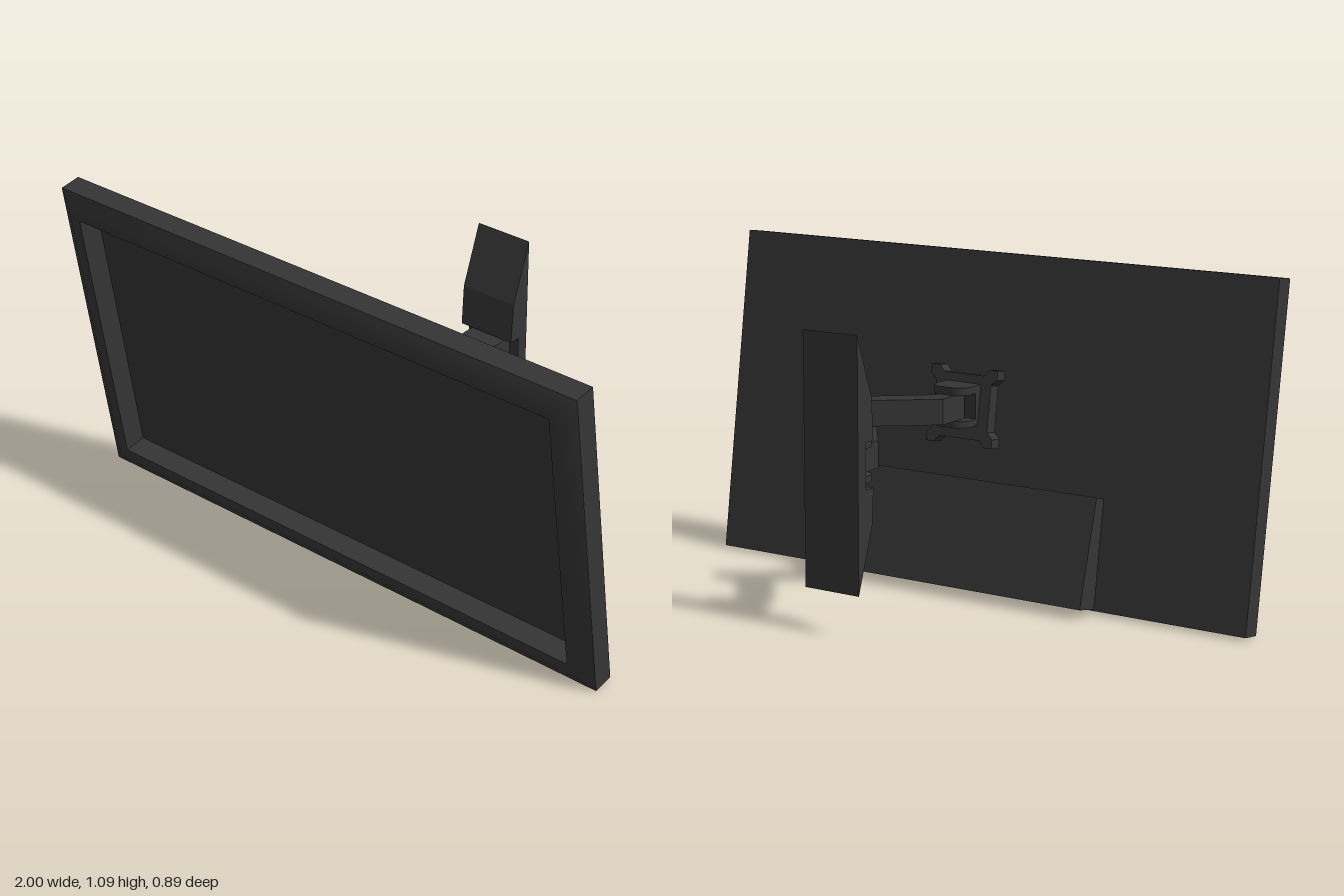
import * as THREE from 'three';
import { toCreasedNormals } from 'three/addons/utils/BufferGeometryUtils.js';

const dark = new THREE.MeshStandardMaterial({ color: 0x353535 });

function part(name, geometry, parent) {
  const mesh = new THREE.Mesh(geometry, dark);
  mesh.name = name;
  parent.add(mesh);
  return mesh;
}

const toShape = (pts) => new THREE.Shape(pts.map(([a, b]) => new THREE.Vector2(a, b)));

// Side profile of [z, y] points, extruded from x0 to x1
function sideExtrude(pts, x0, x1) {
  const g = new THREE.ExtrudeGeometry(toShape(pts), { depth: x1 - x0, bevelEnabled: false });
  return g.rotateY(-Math.PI / 2).translate(x1, 0, 0);
}

// Plan outline of [x, z] points, extruded from y0 to y1
function planExtrude(pts, y0, y1) {
  const shape = toShape(pts.map(([x, z]) => [x, -z]));
  const g = new THREE.ExtrudeGeometry(shape, { depth: y1 - y0, bevelEnabled: false });
  return g.rotateX(-Math.PI / 2).translate(0, y0, 0);
}

function block(x0, x1, y0, y1, z0, z1) {
  return new THREE.BoxGeometry(x1 - x0, y1 - y0, z1 - z0)
    .translate((x0 + x1) / 2, (y0 + y1) / 2, (z0 + z1) / 2);
}

// Rectangular rings of [inset, depth], joined and capped front and back
function framedPanel(w, h, rings) {
  const pos = [];
  const corners = ([inset, z]) => {
    const x = w / 2 - inset;
    return [[-x, inset, z], [x, inset, z], [x, h - inset, z], [-x, h - inset, z]];
  };
  const quad = (a, b, c, d) => pos.push(...a, ...b, ...c, ...a, ...c, ...d);
  const loops = rings.map(corners);
  for (let r = 0; r < loops.length - 1; r++) {
    for (let i = 0; i < 4; i++) {
      const j = (i + 1) % 4;
      quad(loops[r][i], loops[r][j], loops[r + 1][j], loops[r + 1][i]);
    }
  }
  const [a, b, c, d] = loops[0];
  quad(d, c, b, a);
  quad(...loops[loops.length - 1]);
  const g = new THREE.BufferGeometry();
  g.setAttribute('position', new THREE.Float32BufferAttribute(pos, 3));
  return toCreasedNormals(g, 0.7);
}

// Forked bracket: two rounded cheeks joined by a back wall, with a hinge pin
function forkBracket(name, cx, zBase, zTip, wall, y0, y1, arm0, arm1, parent) {
  const group = new THREE.Group();
  group.name = name;
  parent.add(group);
  const dir = Math.sign(zTip - zBase), half = 0.066, r = 0.045;
  const outline = [[cx - half, zBase], [cx + half, zBase]];
  for (let k = 0; k <= 13; k++) {
    // Two quarter arcs, one at each front corner
    const t = (k < 7 ? k : k - 1) / 12 * Math.PI;
    const side = k < 7 ? 1 : -1;
    outline.push([cx + side * (half - r) + r * Math.cos(t), zTip - dir * r * (1 - Math.sin(t))]);
  }
  // Keep the outline anticlockwise in plan whichever way the fork points
  if (dir > 0) outline.reverse();
  part('lowerCheek', planExtrude(outline, y0, arm0), group);
  part('upperCheek', planExtrude(outline, arm1, y1), group);
  const zs = [zBase, zBase + dir * wall].sort((a, b) => a - b);
  part('bracketWall', block(cx - half, cx + half, y0, y1, ...zs), group);
  const pin = part('hingePin', new THREE.CylinderGeometry(0.012, 0.012, y1 - y0 - 0.01, 16), group);
  pin.position.set(cx, (y0 + y1) / 2, zTip - dir * 0.045);
}

export function createModel() {
  const model = new THREE.Group();
  model.name = 'wallMountedDisplay';

  // Tilted display: crowned bezel around a deeply sunken screen
  const display = part('display', framedPanel(2, 1.092, [
    [0, 0], [0, 0.072], [0.047, 0.098], [0.065, 0.1], [0.084, 0.096], [0.091, 0.025],
  ]), model);
  display.rotation.x = 0.15;
  display.position.set(0, 0.011, 0.191);

  // Electronics housing on the lower back
  part('rearHousing', sideExtrude([[0.25, 0.36], [0.2, 0.375], [0.104, 0.034], [0.2, 0.014]], -0.47, 0.492), model);

  // Mounting plate with shallow hollowed sides and four corner lugs
  const plateShape = new THREE.Shape();
  const o = 0.125, n = 0.095, m = 0.104;
  plateShape.moveTo(n, -o);
  for (let i = 0; i < 4; i++) {
    const c = Math.cos(i * Math.PI / 2), s = Math.sin(i * Math.PI / 2);
    const p = (x, y) => [x * c - y * s, x * s + y * c];
    for (const [x, y] of [[o, -o], [o, -n], [m, -0.075], [m, 0.075], [o, n]]) plateShape.lineTo(...p(x, y));
  }
  const plateGeo = new THREE.ExtrudeGeometry(plateShape, { depth: 0.046, bevelEnabled: false });
  const plate = part('mountingPlate', plateGeo.translate(0, 0, -0.023), model);
  plate.position.set(0.035, 0.606, 0.226);
  plate.rotation.x = 0.15;

  // Hinged brackets at both ends of the arm
  forkBracket('displayBracket', 0.035, 0.215, 0.115, 0.03, 0.555, 0.685, 0.577, 0.66, model);
  forkBracket('wallBracket', 0.08, -0.405, -0.295, 0.042, 0.466, 0.598, 0.487, 0.574, model);

  // Two cranked arm links meeting at the elbow
  part('upperArm', planExtrude([
    [0.005, 0.175], [0.065, 0.175], [0.065, 0.1], [0.278, -0.078],
    [0.238, -0.127], [0.19, -0.1], [0.005, 0.05],
  ], 0.577, 0.66), model);
  part('lowerArm', planExtrude([
    [0.05, -0.36], [0.05, -0.24], [0.205, -0.03], [0.265, -0.085],
    [0.11, -0.255], [0.11, -0.36],
  ], 0.488, 0.574), model);
  const elbow = part('elbowPin', new THREE.CylinderGeometry(0.013, 0.013, 0.197, 16), model);
  elbow.position.set(0.23, 0.574, -0.094);

  // Wall plate with tapered ends and a recess for the bracket
  part('wallPlate', sideExtrude([
    [-0.446, 0.137], [-0.374, 0.343], [-0.366, 0.46], [-0.405, 0.46],
    [-0.405, 0.606], [-0.366, 0.606], [-0.374, 0.74], [-0.446, 0.937],
  ], -0.02, 0.18), model);

  return model;
}
